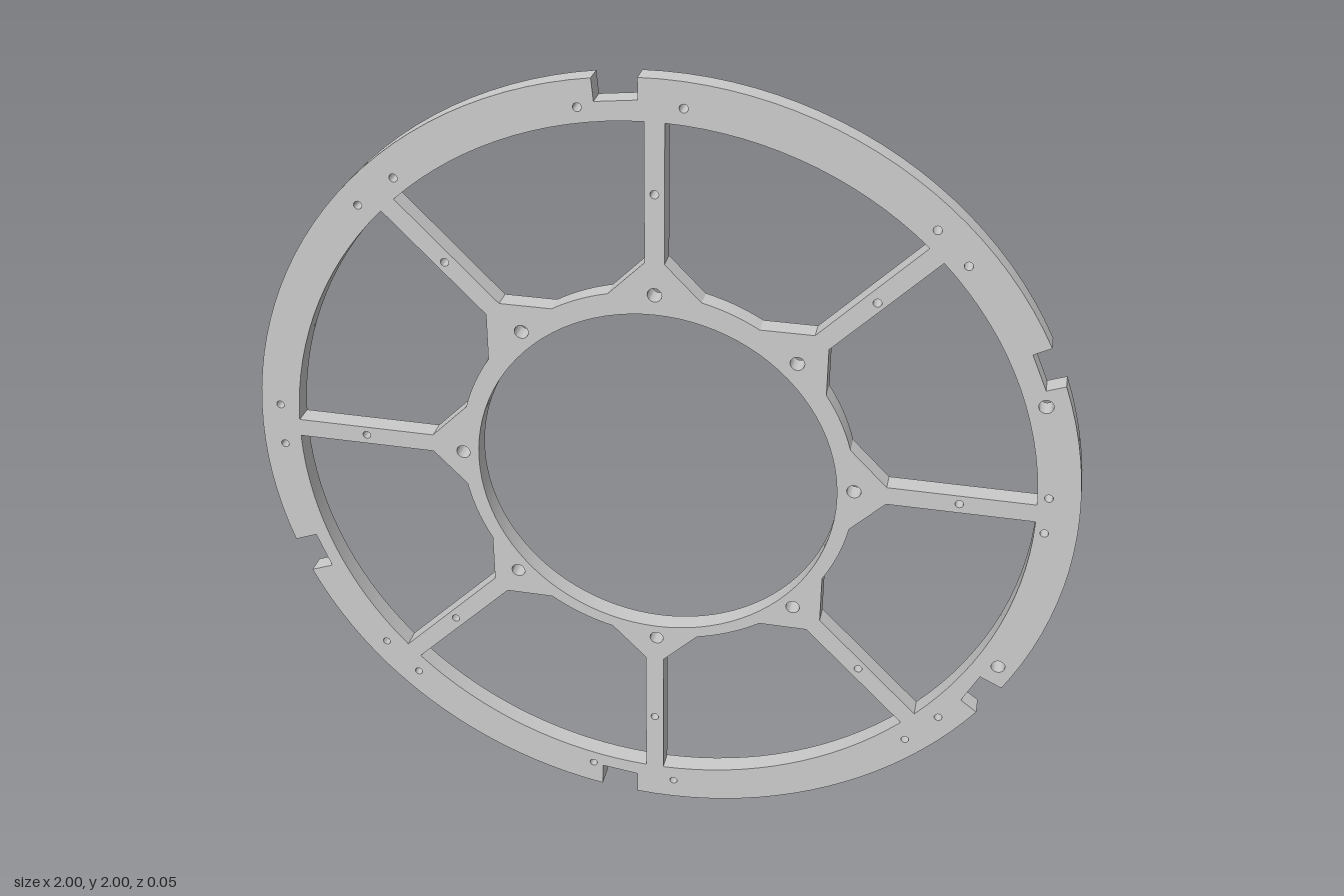
import * as THREE from 'three';
import { toCreasedNormals } from 'three/addons/utils/BufferGeometryUtils.js';

const THICKNESS = 0.05;
const RIM = { y: 0, r: 0.902 };      // inner edge of the rim
const HUB = { y: 0.013, r: 0.482 };  // outer edge of the hub ring
const FLARE = { y: 0.013, r: 0.556 }; // where the spokes start to widen
const SPOKE_Y = 0.028;               // the spokes meet slightly above the middle
const HALF_SPOKE = 0.023;

const V = (x, y) => new THREE.Vector2(x, y);
const polar = (a) => V(Math.cos(a), Math.sin(a));

// Far crossing of a ray with a circle centred at (0, c.y); near gives the first one
function hit(p, d, c, near = false) {
  const q = V(p.x, p.y - c.y);
  const b = q.dot(d);
  const root = Math.sqrt(b * b - q.lengthSq() + c.r * c.r);
  return p.clone().addScaledVector(d, near ? -b - root : -b + root);
}

// Points along a circle from p to q, ccw (dir = 1) or cw (dir = -1)
function arc(p, q, cy, dir) {
  const a = Math.atan2(p.y - cy, p.x);
  let sweep = dir * (Math.atan2(q.y - cy, q.x) - a);
  if (sweep <= 0) sweep += Math.PI * 2;
  const r = Math.hypot(p.x, p.y - cy);
  const r2 = Math.hypot(q.x, q.y - cy);
  const n = Math.max(2, Math.ceil(sweep / 0.05));
  return Array.from({ length: n + 1 }, (_, i) => {
    const t = i / n;
    return polar(a + dir * sweep * t).multiplyScalar(r + (r2 - r) * t).add(V(0, cy));
  });
}

function circle(x, y, r, n) {
  const pts = Array.from({ length: n }, (_, i) => polar(i / n * Math.PI * 2).multiplyScalar(r).add(V(x, y)));
  return new THREE.Path(pts);
}

// Edge of a spoke on one side: rim end, start of the flare, end of the flare on the hub
function spokeEdge(angle, side) {
  const d = polar(angle);
  const n = V(-d.y, d.x).multiplyScalar(side);
  const base = V(0, SPOKE_Y).addScaledVector(n, HALF_SPOKE);
  const flare = hit(base, d, FLARE);
  const inward = n.clone().sub(d).normalize();
  return [hit(base, d, RIM), flare, hit(flare, inward, HUB, true)];
}

// Opening between two neighbouring spokes
function windowPath(i) {
  const [rimA, flareA, hubA] = spokeEdge(i * Math.PI / 4, 1);
  const [rimB, flareB, hubB] = spokeEdge((i + 1) * Math.PI / 4, -1);
  return new THREE.Path([
    ...arc(rimA, rimB, RIM.y, 1), flareB,
    ...arc(hubB, hubA, HUB.y, -1), flareA,
  ]);
}

// Rim notches, counter-clockwise; each runs outer, floor, floor, outer
const NOTCHES = [
  [[0.931, 0.366], [0.888, 0.35], [0.85, 0.436], [0.89, 0.457]],
  [[-0.037, 0.999], [-0.037, 0.949], [-0.134, 0.938], [-0.139, 0.99]],
  [[-0.95, -0.313], [-0.893, -0.291], [-0.858, -0.382], [-0.915, -0.404]],
  [[-0.144, -0.99], [-0.142, -0.928], [-0.048, -0.939], [-0.048, -0.999]],
  [[0.819, -0.574], [0.778, -0.543], [0.818, -0.463], [0.872, -0.489]],
];

// Hole centres
const BOLTS = [
  [0, 0.49], [0.479, 0.029], [0.332, 0.353], [-0.318, 0.361], [-0.479, 0.013],
  [-0.353, -0.321], [0.005, -0.476], [0.348, -0.326], [0.893, 0.31], [0.858, -0.425],
];
const PINS = [
  // along the spokes
  [0, 0.735], [0.725, 0.029], [-0.727, 0.029], [0, -0.735],
  [0.503, 0.525], [-0.495, 0.521], [0.519, -0.489], [-0.529, -0.5],
  // around the rim
  [0.064, 0.938], [-0.171, 0.922], [-0.604, 0.719], [-0.695, 0.644],
  [-0.947, 0.088], [-0.947, -0.024], [-0.727, -0.607], [-0.644, -0.693],
  [-0.168, -0.922], [0.051, -0.944], [0.65, -0.693], [0.727, -0.607],
  [0.925, 0.072], [0.925, -0.024], [0.62, 0.711], [0.693, 0.634],
];

export function createModel() {
  // Outer outline with its notches
  const outline = [];
  NOTCHES.forEach((notch, i) => {
    const pts = notch.map(([x, y]) => V(x, y));
    pts[0].normalize();
    pts[3].normalize();
    const next = V(...NOTCHES[(i + 1) % NOTCHES.length][0]).normalize();
    outline.push(pts[0], pts[1], pts[2], ...arc(pts[3], next, 0, 1).slice(0, -1));
  });
  const shape = new THREE.Shape(outline);

  // Central bore, openings between the spokes, bolt and pin holes
  shape.holes.push(circle(0, 0, 0.44, 96));
  for (let i = 0; i < 8; i++) shape.holes.push(windowPath(i));
  for (const [x, y] of BOLTS) shape.holes.push(circle(x, y, 0.017, 20));
  for (const [x, y] of PINS) shape.holes.push(circle(x, y, 0.01, 16));

  const geometry = new THREE.ExtrudeGeometry(shape, { depth: THICKNESS, bevelEnabled: false });
  geometry.translate(0, 1, -THICKNESS / 2);
  const plate = new THREE.Mesh(
    toCreasedNormals(geometry, 0.42),
    new THREE.MeshStandardMaterial({ color: 0xcccccc }),
  );
  plate.name = 'spokedRingPlate';

  const group = new THREE.Group();
  group.name = 'spokedRing';
  group.add(plate);
  return group;
}
